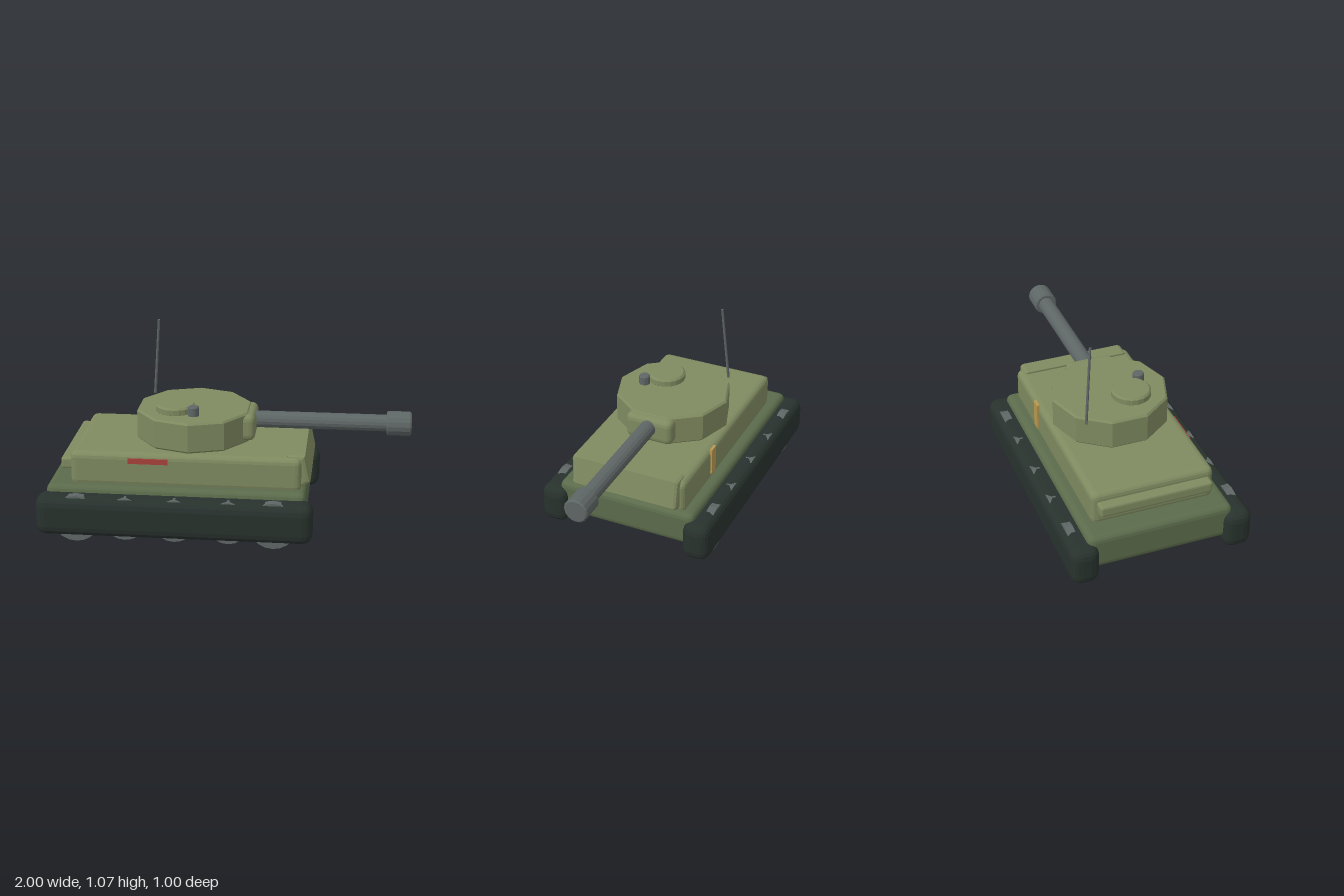
import * as THREE from 'three';
import { RoundedBoxGeometry } from 'three/addons/geometries/RoundedBoxGeometry.js';

export function createModel() {
  const model = new THREE.Group();
  const mat = (name, color, flat = false) => {
    const m = new THREE.MeshStandardMaterial({ color, flatShading: flat });
    m.name = name;
    return m;
  };
  const olive = mat('olive', 0x7f8a60, true);
  const green = mat('darkGreen', 0x5b6b4b, true);
  const rubber = mat('trackRubber', 0x28322d, true);
  const metal = mat('gunMetal', 0x5e6665, true);
  const red = mat('red', 0xa8403a);
  const gold = mat('gold', 0xb8984f);

  const add = (name, geo, material) => {
    const mesh = new THREE.Mesh(geo, material);
    mesh.name = name;
    model.add(mesh);
    return mesh;
  };
  // rounded box from its min/max corners
  const box = (name, material, [x0, x1], [y0, y1], [z0, z1], r) => {
    const geo = new RoundedBoxGeometry(x1 - x0, y1 - y0, z1 - z0, 2, r);
    geo.translate((x0 + x1) / 2, (y0 + y1) / 2, (z0 + z1) / 2);
    return add(name, geo, material);
  };
  // turned solid with small chamfers, standing from y0 to y1
  const turned = (name, material, r, y0, y1, c, sides) => {
    const pts = [[0, y0], [r - c, y0], [r, y0 + c], [r, y1 - c], [r - c, y1], [0, y1]]
      .map(([x, y]) => new THREE.Vector2(x, y));
    return add(name, new THREE.LatheGeometry(pts, sides), material);
  };

  // hull
  box('lowerHull', green, [-0.955, 0.447], [0.09, 0.287], [-0.4, 0.4], 0.035);
  box('upperHull', olive, [-0.83, 0.42], [0.265, 0.46], [-0.338, 0.338], 0.035);
  box('rearStowage', olive, [-0.885, -0.78], [0.35, 0.415], [-0.31, 0.31], 0.015);

  // sloped front plate, extruded across the hull
  const plate = new THREE.Shape(
    [[0.36, 0.45], [0.42, 0.45], [0.445, 0.33], [0.425, 0.315], [0.36, 0.31]]
      .map(([x, y]) => new THREE.Vector2(x, y)));
  const plateGeo = new THREE.ExtrudeGeometry(plate, {
    depth: 0.58, bevelThickness: 0.02, bevelSize: 0.02, bevelSegments: 2,
  });
  plateGeo.translate(0, 0, -0.29);
  add('frontPlate', plateGeo, olive);

  // tracks and wheels
  for (const s of [-1, 1]) {
    const side = s > 0 ? 'left' : 'right';
    box(side + 'Track', rubber, [-1, 0.49], [0.03, 0.252],
      s > 0 ? [0.345, 0.5] : [-0.5, -0.345], 0.055);
    [-0.78, -0.515, -0.25, 0.04, 0.28].forEach((x, i) => {
      const end = i === 0 || i === 4;
      const geo = new THREE.CylinderGeometry(end ? 0.13 : 0.118, end ? 0.13 : 0.118, 0.045, 20);
      const wheel = add(side + 'Wheel' + (i + 1), geo, metal);
      wheel.rotation.x = Math.PI / 2;
      wheel.position.set(x, end ? 0.13 : 0.135, s * 0.448);
    });
  }

  // turret
  turned('turret', olive, 0.322, 0.465, 0.634, 0.01, 10).position.x = -0.19;
  turned('turretRing', olive, 0.25, 0.44, 0.48, 0.005, 20).position.x = -0.19;
  box('mantlet', olive, [0.03, 0.154], [0.478, 0.627], [-0.138, 0.138], 0.035);
  turned('hatch', olive, 0.108, 0.625, 0.674, 0.01, 20).position.set(-0.285, 0, 0.088);
  turned('periscope', metal, 0.031, 0.62, 0.686, 0.006, 12).position.set(-0.176, 0, 0.173);

  // gun, pointing along +x
  for (const [name, r, x0, x1, c] of [['gunBarrel', 0.046, 0.08, 0.9, 0.004], ['muzzle', 0.067, 0.865, 1, 0.008]]) {
    const part = turned(name, metal, r, x0, x1, c, 16);
    part.rotation.z = -Math.PI / 2;
    part.position.y = 0.567;
  }

  // leaning antenna
  const base = new THREE.Vector3(-0.445, 0.625, -0.226);
  const tip = new THREE.Vector3(-0.412, 1.065, -0.191);
  const rod = add('antenna', new THREE.CylinderGeometry(0.007, 0.008, base.distanceTo(tip), 8), metal);
  rod.position.lerpVectors(base, tip, 0.5);
  rod.quaternion.setFromUnitVectors(new THREE.Vector3(0, 1, 0), tip.clone().sub(base).normalize());

  // side markers
  const marker = (name, material, w, h, d, x, y, z) =>
    add(name, new THREE.BoxGeometry(w, h, d), material).position.set(x, y, z);
  marker('redMarker', red, 0.215, 0.03, 0.009, -0.405, 0.42, 0.338);
  marker('goldMarker', gold, 0.055, 0.155, 0.016, 0.04, 0.39, -0.339);

  return model;
}
